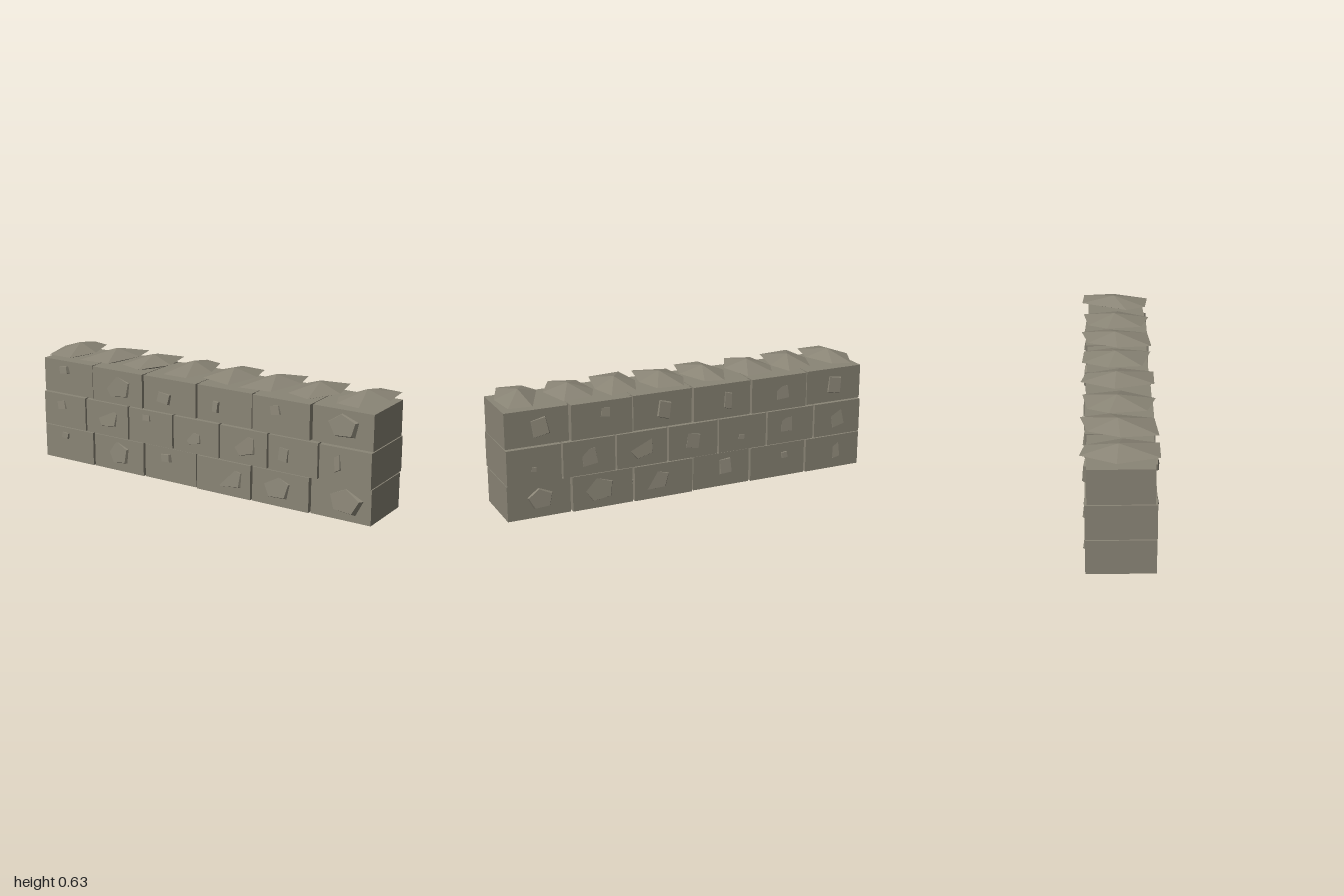
import * as THREE from 'three';

const stone = new THREE.MeshStandardMaterial({ color: 0x8a8576, flatShading: true });
stone.name = 'weathered stone';

function addMesh(parent, name, geometry, x = 0, y = 0, z = 0) {
  const mesh = new THREE.Mesh(geometry, stone);
  mesh.name = name;
  mesh.position.set(x, y, z);
  parent.add(mesh);
  return mesh;
}

// Small repeatable variation for chip angles
let seed = 7;
const rand = () => (seed = (seed * 16807) % 2147483647) / 2147483647;

// Flattened double pyramid over a six-cornered outline of [x, z] points
function capGeometry(outline) {
  const p = [];
  const top = [0, 0.63, -0.01], bottom = [0, 0.55, 0];
  outline.forEach(([x, z], i) => {
    const [nx, nz] = outline[(i + 1) % outline.length];
    p.push(...top, nx, 0.59, nz, x, 0.59, z);
    p.push(...bottom, x, 0.59, z, nx, 0.59, nz);
  });
  const g = new THREE.BufferGeometry();
  g.setAttribute('position', new THREE.Float32BufferAttribute(p, 3));
  g.computeVertexNormals();
  return g;
}

// Rough chip that rises from a wall face, tilted out at its lower right
function addChip(parent, x, y, w, h) {
  const depth = 0.04, tx = 0.06 + rand() * 0.08, ty = 0.05 + rand() * 0.08;
  const g = new THREE.CylinderGeometry(0.52, 0.68, 1, w > 0.1 ? 5 : 4);
  g.rotateY(Math.PI / 4 + (rand() - 0.5) * 0.5).rotateX(Math.PI / 2).scale(w, h, depth);
  const z = 0.178 - depth / 2 - 0.36 * (w * ty + h * tx);
  addMesh(parent, 'stoneChip', g, x, y, z).rotation.set(-tx, -ty, 0);
}

// Chips per course, in order along the face: offset x, y, width, height
const frontChips = [
  [-0.86, 0.14, 0.06, 0.04], [-0.5, 0.1, 0.13, 0.12], [-0.19, 0.13, 0.07, 0.05],
  [0.19, 0.1, 0.19, 0.12], [0.48, 0.1, 0.15, 0.12], [0.86, 0.1, 0.17, 0.12],
  [-0.88, 0.31, 0.07, 0.06], [-0.57, 0.29, 0.14, 0.11], [-0.31, 0.33, 0.06, 0.04],
  [-0.02, 0.27, 0.11, 0.07], [0.29, 0.29, 0.14, 0.12], [0.52, 0.28, 0.07, 0.09], [0.82, 0.29, 0.04, 0.1],
  [-0.86, 0.51, 0.07, 0.05], [-0.5, 0.47, 0.17, 0.12], [-0.2, 0.455, 0.1, 0.07],
  [0.12, 0.46, 0.04, 0.07], [0.47, 0.5, 0.07, 0.06], [0.84, 0.48, 0.15, 0.11],
];
const backChips = [
  [-0.83, 0.1, 0.12, 0.1], [-0.52, 0.1, 0.15, 0.12], [-0.23, 0.1, 0.19, 0.11],
  [0.19, 0.11, 0.08, 0.1], [0.54, 0.12, 0.04, 0.04], [0.86, 0.1, 0.05, 0.11],
  [-0.86, 0.26, 0.03, 0.03], [-0.57, 0.28, 0.1, 0.11], [-0.29, 0.29, 0.14, 0.12],
  [0, 0.28, 0.09, 0.1], [0.28, 0.26, 0.04, 0.03], [0.55, 0.29, 0.08, 0.1], [0.86, 0.28, 0.09, 0.11],
  [-0.82, 0.47, 0.1, 0.11], [-0.48, 0.5, 0.06, 0.06], [-0.16, 0.47, 0.08, 0.11],
  [0.2, 0.47, 0.05, 0.11], [0.52, 0.47, 0.09, 0.09], [0.84, 0.47, 0.09, 0.11],
];

// Capstone outlines, repeated along the wall
const slabA = [[-0.04, -0.19], [0.06, -0.165], [0.12, 0.01], [0.075, 0.18], [-0.065, 0.18], [-0.12, -0.02]];
const slabB = [[-0.075, -0.155], [0.08, -0.18], [0.122, 0.01], [0.035, 0.18], [-0.1, 0.135], [-0.122, -0.05]];
const slabC = [[-0.06, -0.155], [0.085, -0.19], [0.12, -0.05], [0.07, 0.165], [-0.105, 0.182], [-0.12, 0]];
const slabD = [[-0.06, -0.185], [0.08, -0.175], [0.12, -0.035], [0.075, 0.175], [-0.105, 0.125], [-0.12, -0.05]];
const slabE = [[-0.015, -0.19], [0.105, -0.18], [0.122, -0.01], [0.05, 0.182], [-0.075, 0.165], [-0.12, 0.06]];
const caps = [
  [-0.88, slabA], [-0.63, slabC], [-0.385, slabB], [-0.125, slabA],
  [0.122, slabD], [0.37, slabC], [0.62, slabB], [0.878, slabE],
];

export function createModel() {
  const wall = new THREE.Group();
  wall.name = 'stoneWall';

  // Recessed core seen through the joints
  addMesh(wall, 'mortarCore', new THREE.BoxGeometry(1.984, 0.559, 0.25), 0, 0.2795, 0);

  // Three courses of blocks with staggered joints
  [6, 7, 6].forEach((count, row) => {
    const course = new THREE.Group();
    course.name = 'blockCourse';
    const pitch = 2 / count, gap = 0.01;
    for (let i = 0; i < count; i++) {
      const left = -1 + i * pitch + (i ? gap / 2 : 0);
      const right = -1 + (i + 1) * pitch - (i < count - 1 ? gap / 2 : 0);
      const depth = row === 1 ? 0.336 : i === count - 1 ? 0.31 : [0.334, 0.326, 0.316][(i + row) % 3];
      addMesh(course, 'block', new THREE.BoxGeometry(right - left, 0.183, depth),
        (left + right) / 2, 0.0935 + row * 0.188, 0);
    }
    wall.add(course);
  });

  // Chips on both long faces
  [[frontChips, 0], [backChips, Math.PI]].forEach(([chips, turn]) => {
    const face = new THREE.Group();
    face.name = turn ? 'backChips' : 'frontChips';
    face.rotation.y = turn;
    chips.forEach((c) => addChip(face, ...c));
    wall.add(face);
  });

  // Row of pointed capstones
  caps.forEach(([x, outline]) => addMesh(wall, 'capstone', capGeometry(outline), x));

  return wall;
}
